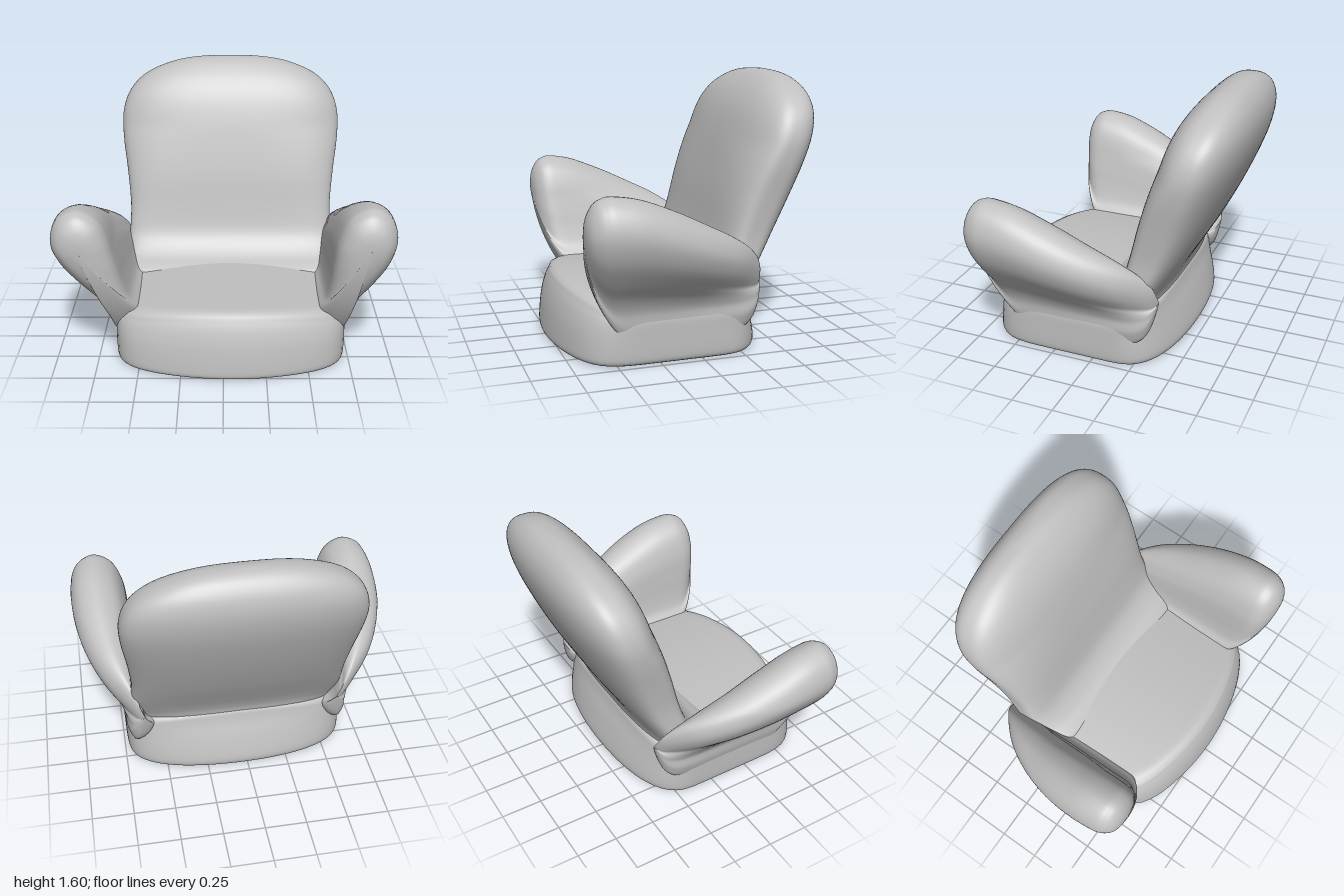
import * as THREE from 'three';

const upholstery = new THREE.MeshStandardMaterial({ color: 0xc0c0c0 });
upholstery.name = 'grey upholstery';

const CENTRE = 0.042; // the body sits slightly off the middle
const clamp = (v, max = 1) => Math.min(max, Math.max(0, v));

// Smoothly resample a short table of stations, column by column
function resample(rows, steps) {
  const out = [];
  const at = (i) => rows[Math.min(rows.length - 1, Math.max(0, i))];
  for (let i = 0; i < rows.length - 1; i++) {
    for (let s = 0; s < steps; s++) {
      const t = s / steps;
      out.push(rows[i].map((b, c) => {
        const a = at(i - 1)[c], d = at(i + 1)[c], e = at(i + 2)[c];
        return b + 0.5 * t * (d - a + t * (2 * a - 5 * b + 4 * d - e + t * (3 * (b - d) + e - a)));
      }));
    }
  }
  out.push(rows[rows.length - 1]);
  return out;
}

// Closed smooth skin through rings of equal size, facing outward
function loft(name, rings) {
  const n = rings[0].length;
  const pts = rings.flat();
  const index = [];
  for (let r = 0; r < rings.length - 1; r++) {
    for (let i = 0; i < n; i++) {
      const a = r * n + i, b = r * n + (i + 1) % n;
      index.push(a, b, a + n, b, b + n, a + n);
    }
  }
  // caps
  [0, rings.length - 1].forEach((r, end) => {
    const mid = new THREE.Vector3();
    rings[r].forEach((p) => mid.addScaledVector(p, 1 / n));
    const c = pts.push(mid) - 1;
    for (let i = 0; i < n; i++) {
      const a = r * n + i, b = r * n + (i + 1) % n;
      if (end) index.push(a, b, c); else index.push(b, a, c);
    }
  });
  // turn the faces round if the enclosed volume is negative
  let volume = 0;
  const cross = new THREE.Vector3();
  for (let i = 0; i < index.length; i += 3) {
    volume += pts[index[i]].dot(cross.crossVectors(pts[index[i + 1]], pts[index[i + 2]]));
  }
  if (volume < 0) index.reverse();
  const g = new THREE.BufferGeometry().setFromPoints(pts);
  g.setIndex(index);
  g.computeVertexNormals();
  const mesh = new THREE.Mesh(g, upholstery);
  mesh.name = name;
  return mesh;
}

// Point on a rounded-rectangle outline with half sizes of 1, evenly spread by angle
function superPoint(angle, power) {
  const c = Math.cos(angle), s = Math.sin(angle);
  const r = (Math.abs(c) ** power + Math.abs(s) ** power) ** (-1 / power);
  return [c * r, s * r];
}

// Base with bowed front, recessed underside and gently crowned seat
function createBase() {
  const N = 128;
  const outline = (scale, half, front, rear, rearBow) => Array.from({ length: N }, (_, i) => {
    const angle = i / N * Math.PI * 2;
    const [u, v] = superPoint(angle, Math.sin(angle) > 0 ? 9 : 5);
    const bow = 1 - u * u;
    const z = v > 0 ? v * (front - 0.16 + 0.16 * bow) : v * (rear - rearBow + rearBow * bow);
    return new THREE.Vector3(CENTRE + u * half * scale, 0, 0.12 + (z - 0.12) * scale);
  });
  const rings = [];
  // underside with an oval recess
  [[0.02, 0.03], [0.62, 0.03], [0.67, 0.004]].forEach(([s, y]) => {
    rings.push(Array.from({ length: N }, (_, i) => {
      const a = i / N * Math.PI * 2;
      return new THREE.Vector3(CENTRE + Math.cos(a) * 0.72 * s, y, 0.15 + Math.sin(a) * 0.6 * s);
    }));
  });
  // height, half width, front, rear, bow of the rear
  const sides = [[0.003, 0.66, 0.755, 0.42, 0.1], [0.02, 0.682, 0.778, 0.445, 0.1],
    [0.07, 0.69, 0.78, 0.45, 0.1], [0.2, 0.692, 0.765, 0.415, 0.08],
    [0.3, 0.692, 0.74, 0.38, 0.05], [0.36, 0.685, 0.715, 0.365, 0.04]];
  resample(sides, 4).forEach(([y, ...shape]) => {
    const ring = outline(1, ...shape);
    ring.forEach((p) => { p.y = y - 0.14 * (p.x - CENTRE) ** 2 * clamp((y - 0.15) / 0.2); });
    rings.push(ring);
  });
  // rounded edge, then the seat
  for (let i = 0; i < 20; i++) {
    const ring = outline(0.985 - i * 0.05, 0.685, 0.715, 0.365, 0.04);
    const drop = [0.018, 0.003][i] || 0;
    ring.forEach((p) => { p.y = 0.397 - 0.14 * (p.x - CENTRE) ** 2 - drop; });
    rings.push(ring);
  }
  return loft('base and seat', rings);
}

// Leaning back cushion in horizontal sections, its foot sweeping forward into the seat
function createBack() {
  // height, half width, front z, rear z
  const rows = [[0.2, 0.6, 0.1, -0.3], [0.34, 0.65, 0.08, -0.35], [0.385, 0.658, 0.03, -0.362],
    [0.42, 0.66, -0.04, -0.372], [0.48, 0.658, -0.105, -0.4], [0.56, 0.653, -0.15, -0.445],
    [0.7, 0.65, -0.185, -0.525], [0.9, 0.67, -0.225, -0.625], [1.1, 0.698, -0.275, -0.71],
    [1.25, 0.7, -0.318, -0.76], [1.38, 0.655, -0.368, -0.78], [1.48, 0.555, -0.43, -0.765],
    [1.55, 0.4, -0.5, -0.725], [1.585, 0.24, -0.555, -0.68], [1.598, 0.05, -0.605, -0.635]];
  const N = 96;
  return loft('backrest', resample(rows, 4).map(([y, half, front, rear]) =>
    Array.from({ length: N }, (_, i) => {
      const angle = i / N * Math.PI * 2;
      // squarer at the front low down, where it meets the arms
      const square = Math.sin(angle) > 0 ? 3 * clamp((1.2 - y) / 0.6) : 0;
      const [u, v] = superPoint(angle, 2.7 + square);
      return new THREE.Vector3(CENTRE + u * half, y, (front + rear) / 2 + v * (front - rear) / 2);
    })));
}

// Flared arm with a bulbous top, section swept from front to rear
function createArm(name, side) {
  const profile = [[0.62, 0.17], [0.56, 0.27], [0.56, 0.345], [0.6, 0.41], [0.622, 0.52], [0.634, 0.65],
    [0.655, 0.8], [0.72, 0.94], [0.84, 1], [0.95, 0.95], [1, 0.82], [0.965, 0.67], [0.87, 0.52],
    [0.785, 0.41], [0.742, 0.32], [0.726, 0.22], [0.69, 0.14]];
  const curve = new THREE.CatmullRomCurve3(profile.map(([x, y]) => new THREE.Vector3(x, y, 0)), true);
  const section = curve.getPoints(80).slice(0, -1);
  // z, top height, outward width, section scale
  const rows = [[0.71, 0.99, 0.95, 0.03], [0.706, 0.99, 0.95, 0.3], [0.69, 0.99, 0.95, 0.6],
    [0.66, 1, 0.95, 0.82], [0.62, 1, 0.96, 0.95], [0.56, 1, 0.98, 1], [0.4, 0.972, 1, 1],
    [0.2, 0.893, 0.95, 1], [0, 0.795, 0.8, 1], [-0.18, 0.7, 0.55, 1], [-0.3, 0.63, 0.3, 0.92],
    [-0.37, 0.58, 0.15, 0.65], [-0.4, 0.55, 0.1, 0.05]];
  return loft(name, resample(rows, 5).map(([z, top, width, k]) => {
    const cx = z > 0 ? 0.83 : 0.62, cy = z > 0 ? 0.8 : 0.42;
    return section.map((p) => {
      // only the flared part narrows; the foot stays flush with the base
      const flare = 1 + (width - 1) * clamp((p.y - 0.25) / 0.25);
      let x = p.x > 0.66 ? 0.66 + (p.x - 0.66) * flare : p.x;
      let y = p.y > 0.3 ? 0.3 + (p.y - 0.3) * (top - 0.3) / 0.7 : p.y;
      x = cx + (x - cx) * k;
      y = cy + (y - cy) * k;
      // the foot is shorter than the top
      const depth = z * (1 - (z > 0 ? 0.15 : 0.07) * clamp((0.8 - y) / 0.5, 1.25) ** 2);
      if (side > 0) return new THREE.Vector3(x, y, depth);
      // the right arm is a little lower and tucks in at the foot
      const tuck = 0.068 * clamp((0.75 - y) / 0.45);
      return new THREE.Vector3(-x + tuck, y > 0.3 ? 0.3 + (y - 0.3) * 0.965 : y,
        depth > 0.3 ? depth - 0.08 * (depth - 0.3) : depth);
    });
  }));
}

export function createModel() {
  const chair = new THREE.Group();
  chair.name = 'armchair';
  chair.add(createBase(), createBack(), createArm('left arm', 1), createArm('right arm', -1));
  return chair;
}
